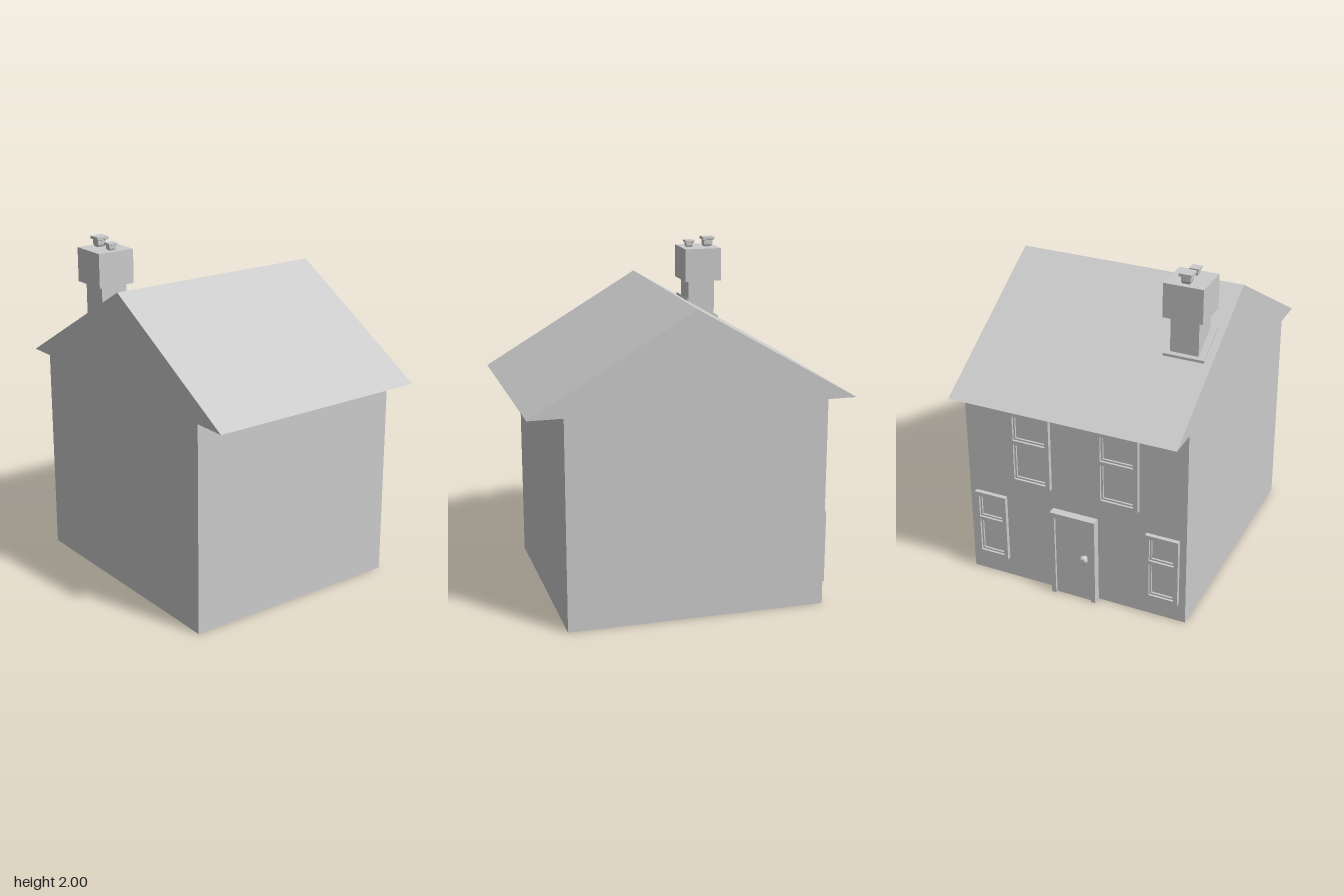
import * as THREE from 'three';

const material = new THREE.MeshStandardMaterial({ color: 0xcccccc, flatShading: true });

function part(name, geometry, x = 0, y = 0, z = 0) {
  const mesh = new THREE.Mesh(geometry, material);
  mesh.name = name;
  mesh.position.set(x, y, z);
  return mesh;
}

const box = (name, w, h, d, x, y, z) => part(name, new THREE.BoxGeometry(w, h, d), x, y, z);

// Outline from [x, y] points
const outline = (points) => points.map(([x, y]) => new THREE.Vector2(x, y));
const rect = (x0, y0, x1, y1) => outline([[x0, y0], [x1, y0], [x1, y1], [x0, y1]]);

function extrude(points, depth, holes = []) {
  const shape = new THREE.Shape(points);
  holes.forEach((h) => shape.holes.push(new THREE.Path(h)));
  return new THREE.ExtrudeGeometry(shape, { depth, bevelEnabled: false });
}

// Square prism from [halfWidth, y] rings
function squareTurned(rings) {
  const profile = outline(rings.map(([r, y]) => [r * Math.SQRT2, y]));
  return new THREE.LatheGeometry(profile, 4, Math.PI / 4);
}

// Window standing on its sill line: outer frame, cross rail and recessed sashes
function createWindow(name, x, y, w, h) {
  const group = new THREE.Group();
  group.name = name;
  group.position.set(x, y, 0);
  const f = 0.025, r = 0.012, s = 0.01, half = w / 2, rail = h * 0.58;
  const panes = [[f, rail - r], [rail + r, h - f]];
  const openings = panes.map(([a, b]) => rect(-half + f, a, half - f, b));
  const frame = extrude(rect(-half, 0, half, h), 0.026, openings);
  group.add(part('windowFrame', frame));
  panes.forEach(([a, b], i) => {
    const glass = rect(-half + f + s, a + s, half - f - s, b - s);
    group.add(part('windowSash', extrude(openings[i], 0.012, [glass])));
  });
  return group;
}

function createDoor() {
  const group = new THREE.Group();
  group.name = 'door';
  // Frame open at the threshold
  const frame = outline([
    [-0.14, 0], [-0.112, 0], [-0.112, 0.525], [0.112, 0.525],
    [0.112, 0], [0.14, 0], [0.14, 0.555], [-0.14, 0.555],
  ]);
  group.add(part('doorFrame', extrude(frame, 0.05)));
  group.add(box('doorPanel', 0.224, 0.525, 0.034, 0, 0.2625, 0.017));
  const knobProfile = outline([
    [0, 0], [0.012, 0], [0.012, 0.015], [0.025, 0.022],
    [0.025, 0.037], [0.016, 0.046], [0, 0.046],
  ]);
  const knob = part('doorKnob', new THREE.LatheGeometry(knobProfile, 12), 0.075, 0.295, 0.032);
  knob.rotation.x = Math.PI / 2;
  group.add(knob);
  return group;
}

function createChimney() {
  const group = new THREE.Group();
  group.name = 'chimney';
  group.position.set(-0.37, 0, 0.515);
  group.add(box('chimneyStack', 0.165, 0.28, 0.165, 0, 1.61, 0));
  group.add(box('chimneyCap', 0.228, 0.2, 0.23, -0.002, 1.84, 0));
  // Sloping collar that follows the roof pitch
  const collar = outline([[-0.1, 1.49], [0.1, 1.607], [0.1, 1.637], [-0.1, 1.52]]);
  group.add(part('chimneyCollar', extrude(collar, 0.24), 0, 0, -0.12));
  // Two pots, each a tapered neck under a flat lid
  [[-0.06, 0.037, 0.06], [0.058, 0.028, 0.042]].forEach(([x, r, h]) => {
    const pot = squareTurned([
      [0, 0], [r * 0.55, 0], [r * 0.72, h * 0.25], [r * 0.72, h * 0.65],
      [r, h * 0.72], [r, h], [0, h],
    ]);
    group.add(part('chimneyPot', pot, x, 1.94, 0));
  });
  return group;
}

export function createModel() {
  const model = new THREE.Group();
  model.name = 'house';

  // Walls and overhanging gable roof as one solid
  const gable = outline([
    [-0.77, 0], [0.74, 0], [0.74, 1.23], [0.94, 1.23],
    [0, 1.78], [-0.94, 1.23], [-0.77, 1.23],
  ]);
  model.add(part('houseBody', extrude(gable, 1.36), 0, 0, -0.68));

  // Door and windows on the -x wall
  const facade = new THREE.Group();
  facade.name = 'facade';
  facade.position.x = -0.77;
  facade.rotation.y = -Math.PI / 2;
  facade.add(createDoor());
  [-1, 1].forEach((side) => {
    facade.add(createWindow('lowerWindow', side * 0.54, 0.12, 0.2, 0.43));
    facade.add(createWindow('upperWindow', side * 0.27, 0.68, 0.25, 0.46));
  });
  model.add(facade, createChimney());
  return model;
}
